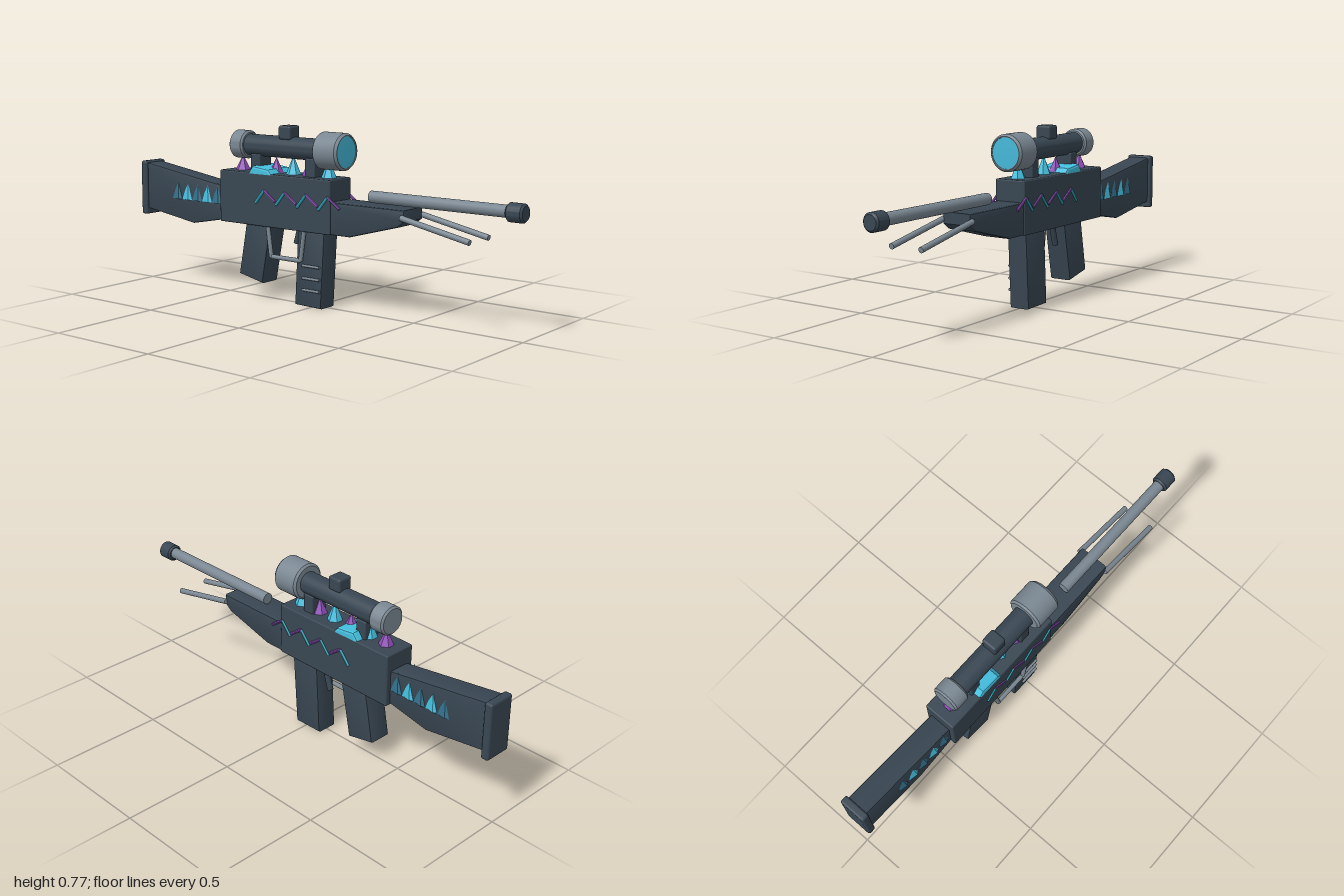
import * as THREE from 'three';
import { RoundedBoxGeometry } from 'three/addons/geometries/RoundedBoxGeometry.js';
import { toCreasedNormals } from 'three/addons/utils/BufferGeometryUtils.js';

const mat = (color, flatShading = false) => new THREE.MeshStandardMaterial({ color, flatShading });
const dark = mat(0x384652), steel = mat(0x7a8792);
const cyan = mat(0x45c0e0, true), blue = mat(0x33708c, true), purple = mat(0x8e4db8, true), teal = mat(0x2a9db0);
const V = (x, y, z) => new THREE.Vector3(x, y, z);

export function createModel() {
  const model = new THREE.Group();

  const add = (name, geometry, material, x = 0, y = 0, z = 0) => {
    const mesh = new THREE.Mesh(geometry, material);
    mesh.name = name;
    mesh.position.set(x, y, z);
    model.add(mesh);
    return mesh;
  };

  // Side outline extruded across z, with a small bevel inside the outline
  const slab = (name, points, halfZ, material = dark, bevel = 0.008) => {
    const shape = new THREE.Shape(points.map(([x, y]) => new THREE.Vector2(x, y)));
    const geo = new THREE.ExtrudeGeometry(shape, {
      depth: 2 * (halfZ - bevel), bevelEnabled: bevel > 0, bevelSize: bevel,
      bevelThickness: bevel, bevelOffset: -bevel, bevelSegments: 2,
    });
    geo.translate(0, 0, -(halfZ - bevel));
    return add(name, toCreasedNormals(geo, 0.6), material);
  };

  // Round rod between two points
  const rod = (name, a, b, r, material, sides = 16) => {
    const dir = b.clone().sub(a);
    const mesh = add(name, new THREE.CylinderGeometry(r, r, dir.length(), sides), material);
    mesh.position.copy(a).add(b).multiplyScalar(0.5);
    mesh.quaternion.setFromUnitVectors(V(0, 1, 0), dir.normalize());
    return mesh;
  };

  // Solid of revolution about the x direction, profile as [radius, x]
  const turned = (name, profile, y, material) => {
    const geo = new THREE.LatheGeometry(profile.map(([r, x]) => new THREE.Vector2(r, x)), 40);
    geo.rotateZ(-Math.PI / 2);
    return add(name, toCreasedNormals(geo, 0.6), material, 0, y, 0);
  };
  const drum = (x0, x1, r, b) => [[0, x0], [r - b, x0], [r, x0 + b], [r, x1 - b], [r - b, x1], [0, x1]];

  // Body
  add('receiver', new RoundedBoxGeometry(0.615, 0.23, 0.146, 2, 0.006), dark, -0.182, 0.444, 0);
  slab('stock', [[-0.98, 0.556], [-0.98, 0.342], [-0.68, 0.297], [-0.47, 0.337], [-0.47, 0.481]], 0.05);
  add('buttPlate', new RoundedBoxGeometry(0.036, 0.25, 0.124, 2, 0.01), dark, -0.982, 0.437, 0);
  slab('foreEnd', [[0.1, 0.467], [0.1, 0.33], [0.22, 0.33], [0.46, 0.395], [0.492, 0.42], [0.492, 0.467]], 0.068);
  slab('grip', [[-0.35, 0.36], [-0.398, 0.1], [-0.265, 0.072], [-0.21, 0.36]], 0.052);
  slab('magazine', [[-0.065, 0.36], [-0.084, 0.003], [0.057, 0], [0.078, 0.36]], 0.048);
  [0.18, 0.126, 0.075].forEach((y) =>
    rod('magazineRib', V(-0.036, y, 0.053), V(0.055, y, 0.053), 0.006, steel, 10));

  // Trigger and its guard
  const guard = new THREE.CurvePath();
  const bend = [V(-0.225, 0.34, 0.058), V(-0.205, 0.2, 0.058), V(-0.042, 0.2, 0.058), V(-0.022, 0.34, 0.058)];
  for (let i = 0; i < 3; i++) guard.add(new THREE.LineCurve3(bend[i], bend[i + 1]));
  add('triggerGuard', new THREE.TubeGeometry(guard, 60, 0.01, 10), steel);
  rod('trigger', V(-0.125, 0.335, -0.047), V(-0.15, 0.25, -0.047), 0.013, dark);

  // Barrel and folded legs
  rod('barrel', V(0.285, 0.498, 0), V(0.94, 0.498, 0), 0.025, steel, 24);
  turned('muzzle', drum(0.925, 1, 0.038, 0.008), 0.496, dark);
  for (const s of [-1, 1])
    rod('leg', V(0.48, 0.437, 0.071 * s), V(0.8, 0.373, 0.071 * s), 0.012, steel);

  // Scope
  const sy = 0.672;
  turned('scopeTube', drum(-0.38, 0.05, 0.047, 0.004), sy, dark);
  turned('eyepiece', drum(-0.446, -0.37, 0.062, 0.008), sy, steel);
  turned('objective', [[0, 0.03], [0.07, 0.03], [0.079, 0.039], [0.079, 0.149], [0.07, 0.16],
    [0.066, 0.158], [0.066, 0.15], [0, 0.15]], sy, steel);
  turned('lens', [[0, 0.145], [0.066, 0.145], [0.066, 0.155], [0, 0.157]], sy, mat(0x45b8d8));
  add('turret', new RoundedBoxGeometry(0.066, 0.06, 0.07, 2, 0.01), dark, -0.152, 0.737, 0);
  for (const x of [-0.31, -0.008])
    add('scopeMount', new RoundedBoxGeometry(0.053, 0.1, 0.08, 2, 0.006), dark, x, 0.588, 0);

  // Crystals along the top
  [-0.415, -0.325, -0.222, -0.127, -0.04, 0.065].forEach((x, i) => {
    const h = i % 2 ? 0.09 : 0.075;
    add('topCrystal', new THREE.ConeGeometry(0.037, h, 6), i % 2 ? cyan : purple, x, 0.55 + h / 2, 0);
  });
  slab('wideCrystal', [[-0.33, 0.55], [-0.29, 0.5], [-0.185, 0.55], [-0.21, 0.578], [-0.3, 0.589]], 0.0725, cyan, 0.01);

  for (const s of [-1, 1]) {
    // Flattened spikes down the sides of the stock
    for (let i = 0; i < 5; i++) {
      const geo = new THREE.ConeGeometry(0.035, 0.092, 4);
      geo.rotateY(0.3).scale(1, 1, 0.35);
      add('stockSpike', geo, i % 2 ? cyan : blue, -0.77 + i * 0.061, 0.448, 0.048 * s);
    }
    // Zigzag veins on the receiver
    for (let i = 0; i < 4; i++) {
      const x = -0.28 + i * 0.115, z = 0.073 * s;
      rod('tealVein', V(x, 0.43, z), V(x + 0.048, 0.487, z), 0.006, teal, 8);
      rod('purpleVein', V(x + 0.048, 0.487, z), V(x + 0.11, 0.443, z), 0.006, purple, 8);
    }
  }
  return model;
}
